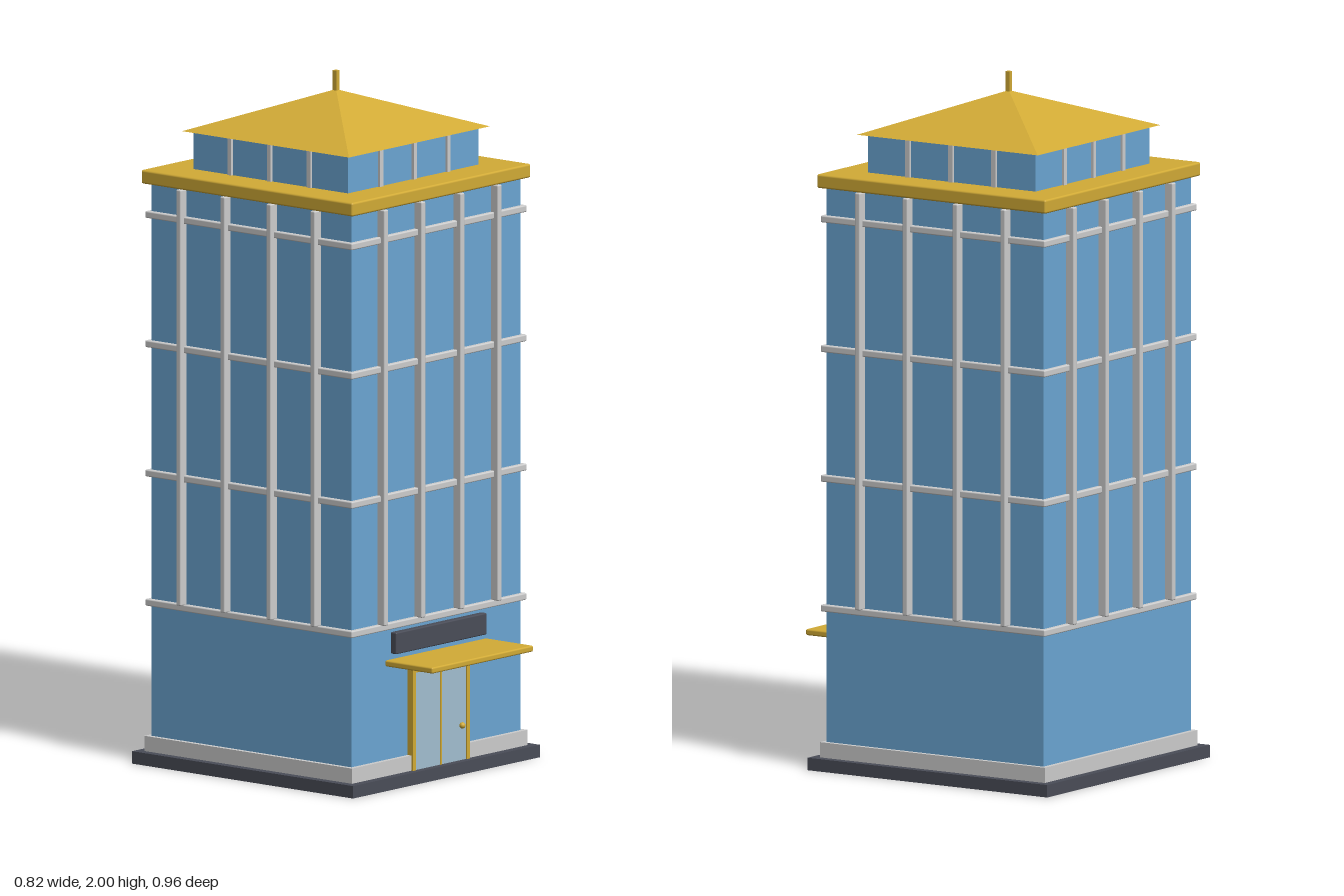
import * as THREE from 'three';
import { RoundedBoxGeometry } from 'three/addons/geometries/RoundedBoxGeometry.js';

const CZ = -0.07; // tower axis in z

const mat = (name, color) => {
  const m = new THREE.MeshStandardMaterial({ color });
  m.name = name;
  return m;
};

export function createModel() {
  const glass = mat('blue glass', 0x6ba6d3);
  const pane = mat('pale door glass', 0xa2bfd0);
  const trim = mat('light grey trim', 0xcdcdcd);
  const gold = mat('gold', 0xd2ab36);
  const dark = mat('dark slate', 0x4a4d58);

  const model = new THREE.Group();
  model.name = 'tower';

  const add = (parent, name, geometry, material, x, y, z) => {
    const mesh = new THREE.Mesh(geometry, material);
    mesh.name = name;
    mesh.position.set(x, y, z);
    parent.add(mesh);
    return mesh;
  };
  // box given by its bottom and top heights
  const box = (parent, name, material, w, y0, y1, d, x, z, bevel = 0) => {
    const h = y1 - y0;
    const g = bevel ? new RoundedBoxGeometry(w, h, d, 2, bevel) : new THREE.BoxGeometry(w, h, d);
    return add(parent, name, g, material, x, (y0 + y1) / 2, z);
  };

  const tower = new THREE.Group();
  tower.name = 'towerBody';
  tower.position.z = CZ;
  model.add(tower);

  // stacked masses
  box(tower, 'base', dark, 0.824, 0, 0.036, 0.824, 0, 0);
  box(tower, 'plinth', trim, 0.774, 0.036, 0.08, 0.774, 0, 0);
  box(tower, 'mainBlock', glass, 0.746, 0.08, 1.68, 0.746, 0, 0);
  box(tower, 'cornice', gold, 0.788, 1.68, 1.72, 0.788, 0, 0, 0.006);
  box(tower, 'penthouse', glass, 0.576, 1.72, 1.832, 0.576, 0, 0);

  // floor bands
  for (let i = 0; i < 4; i++) {
    const y = 0.467 + i * 0.3745;
    box(tower, 'floorBand', trim, 0.772, y - 0.01, y + 0.01, 0.772, 0, 0, 0.004);
  }

  // upright mullions on all four sides
  for (let side = 0; side < 4; side++) {
    const face = new THREE.Group();
    face.name = 'mullions';
    face.rotation.y = side * Math.PI / 2;
    tower.add(face);
    for (const x of [-0.25, -0.086, 0.086, 0.25]) {
      box(face, 'mullion', trim, 0.018, 0.475, 1.68, 0.03, x, 0.385, 0.004);
    }
    for (const x of [-0.148, 0, 0.148]) {
      box(face, 'penthouseMullion', trim, 0.014, 1.72, 1.832, 0.014, x, 0.289);
    }
  }

  // pyramid roof and mast
  const roof = new THREE.ConeGeometry(0.311 * Math.SQRT2, 0.115, 4).toNonIndexed();
  roof.rotateY(Math.PI / 4);
  roof.computeVertexNormals();
  add(tower, 'roof', roof, gold, 0, 1.8875, 0);
  box(tower, 'mast', gold, 0.014, 1.93, 2, 0.014, 0, 0);

  // entrance
  const entrance = new THREE.Group();
  entrance.name = 'entrance';
  model.add(entrance);
  box(entrance, 'doorGlass', pane, 0.236, 0.036, 0.322, 0.017, 0, 0.3115);
  for (const x of [-0.119, 0.119]) {
    box(entrance, 'doorPost', gold, 0.013, 0.036, 0.329, 0.022, x, 0.313);
  }
  box(entrance, 'doorLintel', gold, 0.25, 0.319, 0.33, 0.022, 0, 0.313);
  box(entrance, 'doorDivider', gold, 0.007, 0.036, 0.32, 0.02, 0, 0.313);
  add(entrance, 'doorKnob', new THREE.SphereGeometry(0.009, 16, 12), gold, 0.09, 0.137, 0.325);
  box(entrance, 'canopy', gold, 0.446, 0.35, 0.368, 0.178, 0, 0.389, 0.005);
  box(entrance, 'signBoard', dark, 0.4, 0.384, 0.447, 0.022, 0, 0.313, 0.004);

  return model;
}
